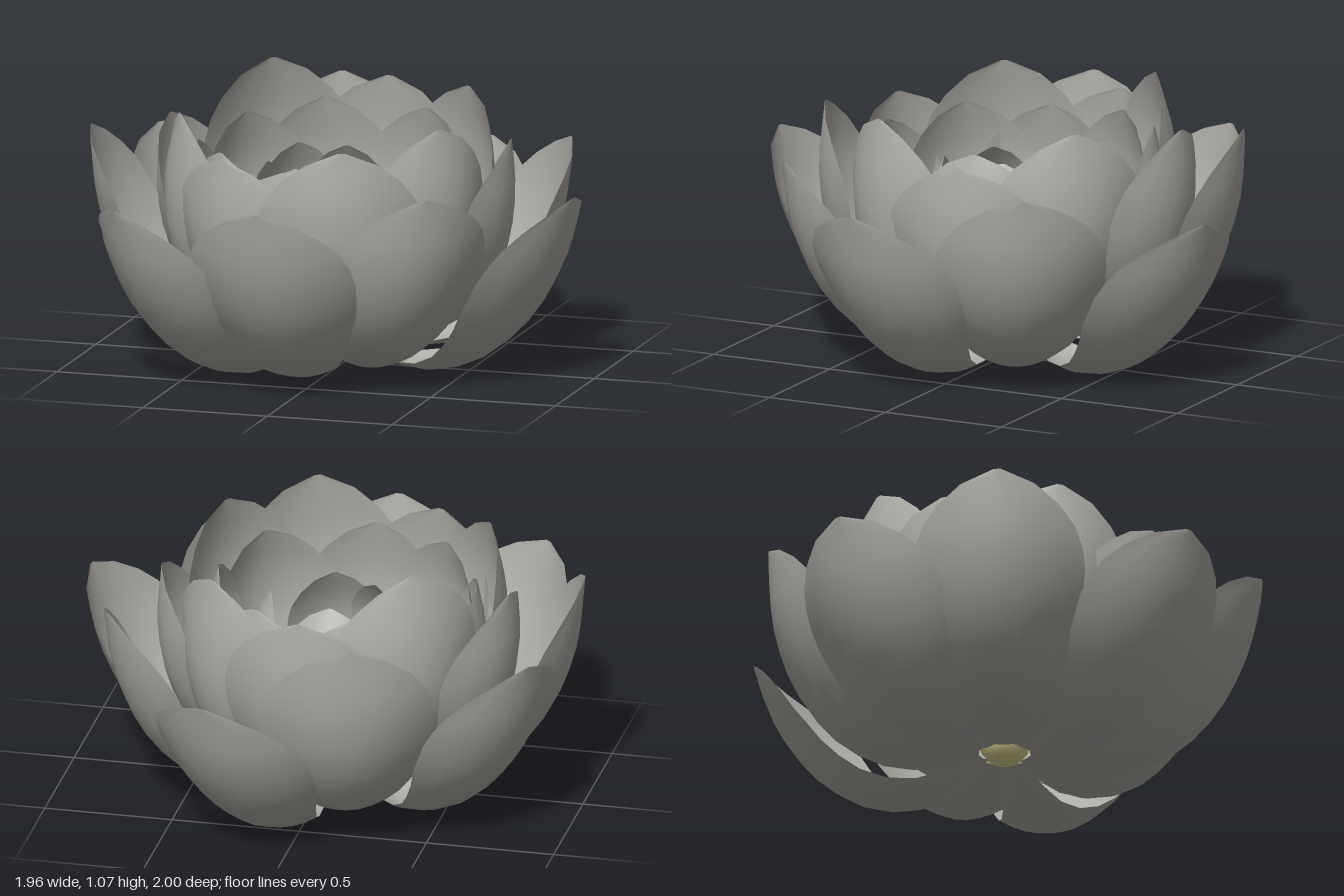
import * as THREE from 'three';

const mat = (name, color) => {
  const m = new THREE.MeshStandardMaterial({ color, side: THREE.DoubleSide });
  m.name = name;
  return m;
};

// Petal midrib (outward, up) measured from its base, and half width along it
const MIDRIB = new THREE.CatmullRomCurve3(
  [[0, 0], [0.14, -0.06], [0.31, -0.085], [0.52, -0.02], [0.71, 0.16], [0.83, 0.4], [0.89, 0.69]]
    .map(([x, y]) => new THREE.Vector3(x, y, 0)));
const WIDTH = [[0, 0.14], [0.2, 0.38], [0.42, 0.72], [0.6, 0.95], [0.76, 1], [0.87, 0.86], [0.95, 0.56], [1, 0.04]];
const TIP = new THREE.Vector2(0.89, 0.69);

function widthAt(t) {
  let i = 1;
  while (i < WIDTH.length - 1 && t > WIDTH[i][0]) i++;
  const [t0, w0] = WIDTH[i - 1], [t1, w1] = WIDTH[i];
  return THREE.MathUtils.lerp(w0, w1, (t - t0) / (t1 - t0));
}

// Cupped petal, turned and scaled so its tip lands at radius r and height y
function petalGeometry(r, y, baseR, baseY, halfWidth) {
  const rows = 14, cols = 8, pos = [], index = [];
  const target = new THREE.Vector2(r - baseR, y - baseY);
  const scale = target.length() / TIP.length();
  const turn = target.angle() - TIP.angle();
  const axis = new THREE.Vector3(0, 0, 1);
  for (let i = 0; i <= rows; i++) {
    const t = 1 - Math.pow(1 - i / rows, 1.25);
    const p = MIDRIB.getPointAt(t).multiplyScalar(scale).applyAxisAngle(axis, turn);
    const d = MIDRIB.getTangentAt(t).applyAxisAngle(axis, turn);
    const w = halfWidth * widthAt(t);
    const cup = (1.25 + 1.4 * (1 - t) ** 2) / scale;
    for (let j = 0; j <= cols; j++) {
      const x = w * (2 * j / cols - 1);
      const depth = cup * x * x;
      pos.push(baseR + p.x - d.y * depth, baseY + p.y + d.x * depth, x);
    }
  }
  for (let i = 0; i < rows; i++) for (let j = 0; j < cols; j++) {
    const a = i * (cols + 1) + j, b = a + cols + 1;
    index.push(a, a + 1, b, b, a + 1, b + 1);
  }
  const g = new THREE.BufferGeometry();
  g.setAttribute('position', new THREE.Float32BufferAttribute(pos, 3));
  g.setIndex(index);
  g.computeVertexNormals();
  return g;
}

// Rings of petals: [angle from +x towards +z, tip radius, tip height]
const RINGS = [
  { name: 'outerPetal', baseR: 0.1, baseY: 0.105, width: 0.335, petals: [
    [90, 1.0, 0.77], [127.5, 1.03, 0.71], [172.5, 0.94, 0.88], [211, 0.99, 0.76], [255, 0.91, 0.92],
    [288, 1.05, 0.68], [330, 0.94, 0.82], [9.5, 1.035, 0.73], [49, 0.9, 0.8]] },
  { name: 'middlePetal', baseR: 0.1, baseY: 0.11, width: 0.325, petals: [
    [70, 0.72, 0.96], [112, 0.67, 0.89], [150, 0.6, 0.99], [190, 0.7, 0.89], [229, 0.57, 1.06],
    [270, 0.73, 0.95], [310, 0.62, 0.99], [350, 0.69, 0.88], [30, 0.6, 0.99]] },
  { name: 'innerPetal', baseR: 0.1, baseY: 0.12, width: 0.275, petals: [
    [92, 0.55, 0.84], [42, 0.5, 0.86], [350, 0.47, 0.88], [295, 0.54, 0.89], [250, 0.55, 0.9],
    [212, 0.5, 0.88], [170, 0.52, 0.84], [132, 0.5, 0.86]] },
  { name: 'heartPetal', baseR: 0.1, baseY: 0.14, width: 0.185, petals: [
    [270, 0.19, 0.79], [340, 0.27, 0.8], [72, 0.26, 0.75], [128, 0.17, 0.76], [190, 0.28, 0.74], [228, 0.31, 0.78]] },
];

export function createModel() {
  const group = new THREE.Group();
  const flower = new THREE.Group();
  flower.name = 'flower';
  flower.position.x = -0.05;
  group.add(flower);
  const petalMat = mat('petal grey', 0xaeaca6);
  const podMat = mat('pod yellow', 0xe2d995);
  const stamenMat = mat('stamen gold', 0xcdb965);

  const add = (name, geo, material, parent = flower) => {
    const m = new THREE.Mesh(geo, material);
    m.name = name;
    parent.add(m);
    return m;
  };

  // Petals
  for (const ring of RINGS) {
    for (const [angle, r, y] of ring.petals) {
      const petal = add(ring.name, petalGeometry(r, y, ring.baseR, ring.baseY, ring.width), petalMat);
      petal.rotation.y = -THREE.MathUtils.degToRad(angle);
    }
  }

  // Seed pod: flared cup with a flat top
  const top = 0.42;
  const cup = [[0, 0.08], [0.06, 0.085], [0.09, 0.12], [0.13, 0.25], [0.18, 0.36], [0.2, 0.4], [0.198, top]]
    .map(([x, y]) => new THREE.Vector2(x, y));
  add('seedPod', new THREE.LatheGeometry(cup, 32), podMat);
  const lid = add('podTop', new THREE.CircleGeometry(0.198, 32), podMat);
  lid.rotation.x = -Math.PI / 2;
  lid.position.y = top;

  // Seeds in rings, the outermost ones with raised rims
  const seedGeo = new THREE.SphereGeometry(0.017, 12, 8);
  const rimGeo = new THREE.TorusGeometry(0.023, 0.006, 6, 16);
  for (const [count, r, rim] of [[1, 0.02, false], [7, 0.085, false], [10, 0.15, true]]) {
    for (let i = 0; i < count; i++) {
      const a = (i + 0.4) / count * Math.PI * 2;
      const x = r * Math.cos(a), z = r * Math.sin(a);
      add('seed', seedGeo, podMat).position.set(x, top + 0.006, z);
      if (rim && i % 3 !== 1) {
        const m = add('seedRim', rimGeo, podMat);
        m.rotation.x = Math.PI / 2;
        m.position.set(x, top + 0.003, z);
      }
    }
  }

  // Stamens: short thin filaments rising from the petal bases, with small tips
  const anther = new THREE.SphereGeometry(0.008, 6, 5);
  const count = 44;
  for (let i = 0; i < count; i++) {
    const reach = 0.25 + 0.08 * ((i * 7) % 5) / 4;
    const height = 0.36 + 0.06 * ((i * 3) % 4) / 3;
    const curve = new THREE.QuadraticBezierCurve3(
      new THREE.Vector3(reach - 0.05, 0.13, 0),
      new THREE.Vector3(reach - 0.02, 0.22, 0),
      new THREE.Vector3(reach, height, 0));
    const stamen = new THREE.Group();
    stamen.name = 'stamen';
    stamen.rotation.y = i / count * Math.PI * 2;
    add('filament', new THREE.TubeGeometry(curve, 4, 0.003, 5), stamenMat, stamen);
    const tip = add('anther', anther, stamenMat, stamen);
    tip.position.set(reach, height, 0);
    tip.scale.y = 1.8;
    flower.add(stamen);
  }
  return group;
}
